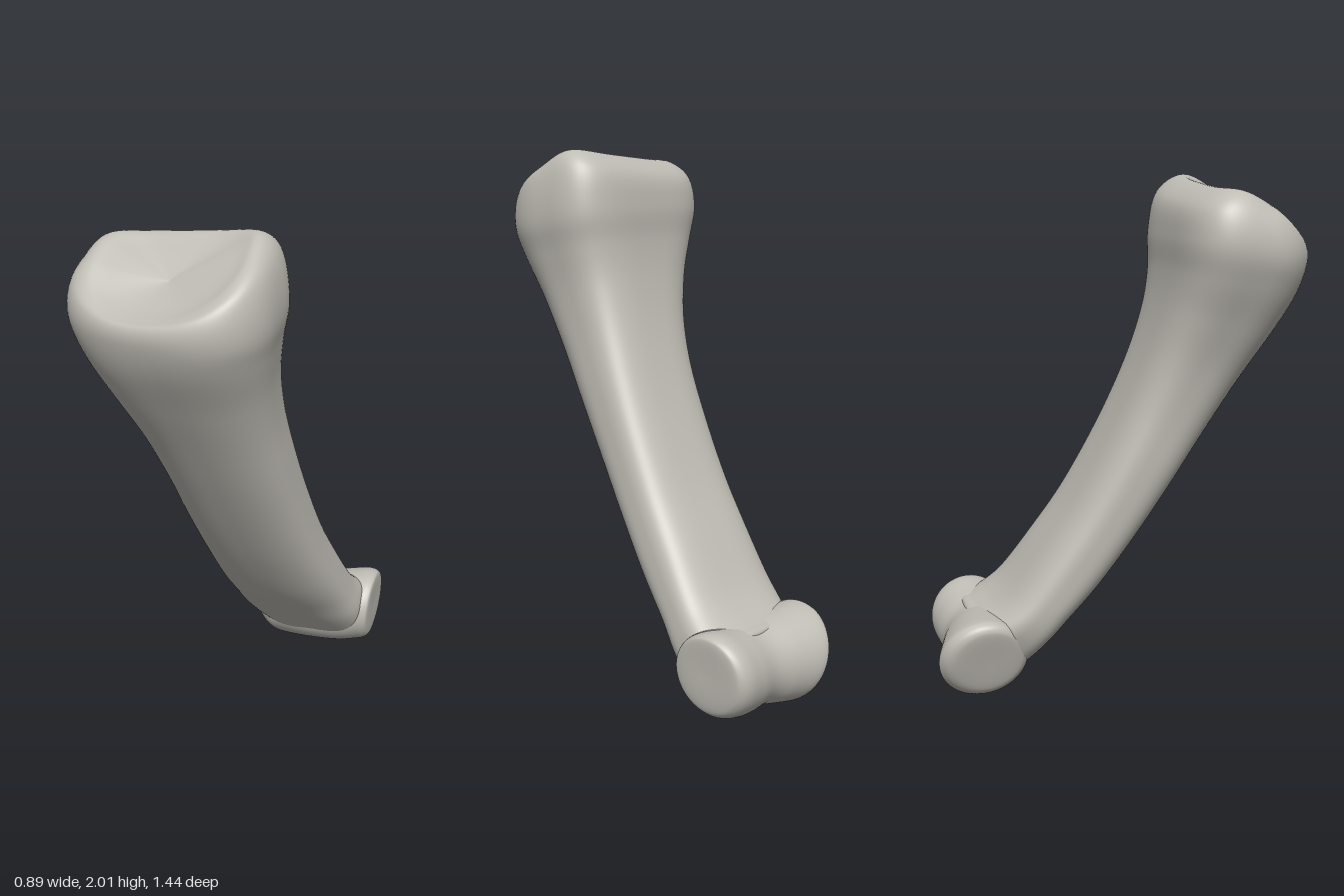
import * as THREE from 'three';

const SEG = 72;
const STEPS = 7;
const { smoothstep } = THREE.MathUtils;

// Smooth (Catmull-Rom) resampling of a list of station parameter rows
function resample(rows) {
  const out = [];
  const at = (i) => rows[Math.max(0, Math.min(rows.length - 1, i))];
  for (let i = 0; i < rows.length - 1; i++) {
    for (let s = 0; s < STEPS; s++) {
      const t = s / STEPS;
      out.push(rows[i].map((b, k) => {
        const a = at(i - 1)[k], c = at(i + 1)[k], d = at(i + 2)[k];
        return b + 0.5 * t * (c - a + t * (2 * a - 5 * b + 4 * c - d + t * (3 * (b - c) + d - a)));
      }));
    }
  }
  out.push(rows[rows.length - 1]);
  return out;
}

// Closed rings joined into one smooth skin
function loft(rows, ringPoint) {
  const pos = [], index = [];
  const stations = resample(rows);
  stations.forEach((row, i) => {
    for (let j = 0; j < SEG; j++) {
      pos.push(...ringPoint(row, (j / SEG) * Math.PI * 2));
      if (i === stations.length - 1) continue;
      const a = i * SEG + j, b = i * SEG + ((j + 1) % SEG);
      index.push(a, a + SEG, b, b, a + SEG, b + SEG);
    }
  });
  const g = new THREE.BufferGeometry();
  g.setAttribute('position', new THREE.Float32BufferAttribute(pos, 3));
  g.setIndex(index);
  g.computeVertexNormals();
  return g;
}

const power = (v, n) => Math.sign(v) * Math.pow(Math.abs(v), 2 / n);

// Tilted section, rounder in front and flatter behind, changing with height
function shaftPoint([zf, yf, zb, yb, xl, xr], a) {
  const c = Math.cos(a), s = Math.sin(a);
  const midY = (yf + yb) / 2, width = xr - xl;
  const low = 1 - smoothstep(midY, 0.17, 0.4);
  const flare = smoothstep(midY, 1.45, 1.8);
  const rim = smoothstep(midY, 1.7, 1.88);
  const n = s > 0 ? 2.4 + low - 0.1 * flare : 3.3 + 0.5 * flare;
  const u = power(c, n), v = power(s, n);
  const dx = (u * width) / 2;
  const dy = (v * (yf - yb)) / 2;
  const roll = 0.08 * rim + 0.04 * low;
  return [
    (xl + xr) / 2 + dx - (0.33 * low * dy * (1 - u)) / 2,
    midY + dy + roll * dx + 0.085 * rim * width * c * c,
    (zf + zb) / 2 + (v * (zf - zb)) / 2 + 0.12 * flare * dx * Math.max(0, s),
  ];
}

// Round section of the hinge-like lower end, sheared at its right side
function headPoint([x, z, y, r, shear], a) {
  const dy = r * Math.sin(a);
  return [x + shear * dy, y + dy, z + r * Math.cos(a)];
}

export function createModel() {
  const group = new THREE.Group();
  const bone = new THREE.MeshStandardMaterial({ color: 0xbfbcb4 });
  bone.name = 'bone grey';

  // Front z, y; back z, y; x from, to
  const shaft = [
    [-0.53, 0.18, -0.53, 0.18, 0.17, 0.17],
    [-0.47, 0.035, -0.575, 0.31, -0.035, 0.405],
    [-0.40, 0.08, -0.53, 0.34, -0.06, 0.415],
    [-0.30, 0.18, -0.47, 0.375, -0.105, 0.41],
    [-0.21, 0.275, -0.40, 0.445, -0.13, 0.385],
    [-0.07, 0.43, -0.29, 0.60, -0.15, 0.35],
    [0.07, 0.62, -0.17, 0.78, -0.17, 0.315],
    [0.20, 0.815, -0.05, 1.0, -0.195, 0.287],
    [0.335, 1.03, 0.04, 1.195, -0.22, 0.266],
    [0.46, 1.235, 0.105, 1.37, -0.265, 0.252],
    [0.575, 1.42, 0.148, 1.53, -0.335, 0.255],
    [0.67, 1.58, 0.17, 1.67, -0.405, 0.275],
    [0.71, 1.69, 0.175, 1.80, -0.445, 0.295],
    [0.706, 1.75, 0.205, 1.92, -0.425, 0.27],
    [0.67, 1.768, 0.30, 1.985, -0.365, 0.215],
    // Dished joint surface
    [0.61, 1.79, 0.37, 1.945, -0.28, 0.14],
    [0.48, 1.855, 0.48, 1.855, -0.07, -0.07],
  ];
  const shaftMesh = new THREE.Mesh(loft(shaft, shaftPoint), bone);
  shaftMesh.name = 'shaftAndBase';

  // x; centre z, y; radius; shear
  const head = [
    [-0.07, -0.53, 0.18, 0, -0.33],
    [-0.07, -0.53, 0.18, 0.11, -0.33],
    [-0.06, -0.535, 0.178, 0.148, -0.33],
    [-0.035, -0.538, 0.177, 0.169, -0.33],
    [0.0, -0.54, 0.176, 0.176, -0.3],
    [0.1, -0.52, 0.176, 0.167, -0.15],
    [0.2, -0.502, 0.177, 0.156, 0],
    [0.3, -0.51, 0.187, 0.16, 0],
    [0.38, -0.518, 0.203, 0.16, 0.04],
    [0.425, -0.515, 0.21, 0.148, 0.05],
    [0.44, -0.51, 0.215, 0.115, 0.04],
    [0.44, -0.51, 0.215, 0, 0],
  ];
  const headMesh = new THREE.Mesh(loft(head, headPoint), bone);
  headMesh.name = 'headCondyles';

  group.add(shaftMesh, headMesh);
  return group;
}
